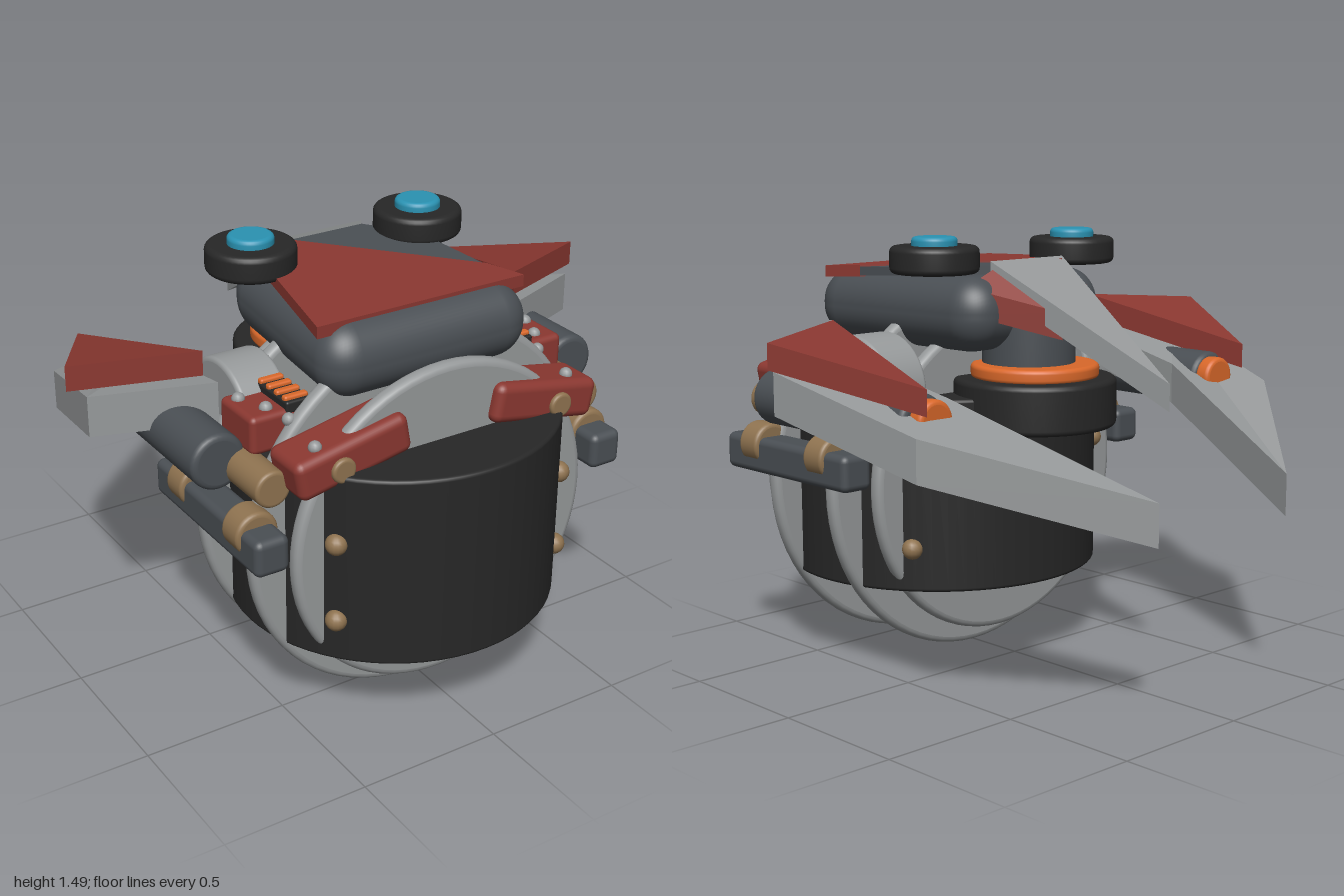
import * as THREE from 'three';
import { RoundedBoxGeometry } from 'three/addons/geometries/RoundedBoxGeometry.js';

const paint = (name, color) => Object.assign(new THREE.MeshStandardMaterial({ color }), { name });

// Flat slab: polygon of [x, y, z] corners dropped straight down by h
function slab(points, h) {
  let area = 0;
  points.forEach((a, i) => {
    const b = points[(i + 1) % points.length];
    area += a[0] * b[2] - b[0] * a[2];
  });
  const pts = area < 0 ? [...points].reverse() : points;
  const low = pts.map(([x, y, z]) => [x, y - h, z]);
  const out = [];
  const tri = (a, b, c) => out.push(...a, ...b, ...c);
  const flat = pts.map((p) => new THREE.Vector2(p[0], p[2]));
  for (const [i, j, k] of THREE.ShapeUtils.triangulateShape(flat.slice(), [])) {
    const a = flat[i], b = flat[j], c = flat[k];
    const up = (b.x - a.x) * (c.y - a.y) - (b.y - a.y) * (c.x - a.x) < 0;
    const [m, n] = up ? [j, k] : [k, j];
    tri(pts[i], pts[m], pts[n]);
    tri(low[i], low[n], low[m]);
  }
  pts.forEach((a, i) => {
    const j = (i + 1) % pts.length;
    tri(a, pts[j], low[j]);
    tri(a, low[j], low[i]);
  });
  const geo = new THREE.BufferGeometry();
  geo.setAttribute('position', new THREE.Float32BufferAttribute(out, 3));
  geo.computeVertexNormals();
  return geo;
}

// Upright solid disc with rounded rims, centred on its middle
function puck(r, h, bevel, seg = 48) {
  const pts = [new THREE.Vector2(0, -h / 2), new THREE.Vector2(r - bevel, -h / 2)];
  for (const side of [-1, 1]) {
    for (let i = 0; i <= 4; i++) {
      const a = (side < 0 ? -Math.PI / 2 : 0) + (i / 4) * (Math.PI / 2);
      pts.push(new THREE.Vector2(r - bevel + Math.cos(a) * bevel, side * (h / 2 - bevel) + Math.sin(a) * bevel));
    }
  }
  pts.push(new THREE.Vector2(0, h / 2));
  // doubled corners keep the flat caps crisp
  pts.splice(1, 0, new THREE.Vector2(r - bevel - 0.001, -h / 2));
  pts.splice(pts.length - 1, 0, new THREE.Vector2(r - bevel - 0.001, h / 2));
  return new THREE.LatheGeometry(pts, seg);
}
const alongZ = (geo) => geo.rotateX(Math.PI / 2);
const alongX = (geo) => geo.rotateZ(Math.PI / 2);
const box = (w, h, d, r) => new RoundedBoxGeometry(w, h, d, 3, r);

export function createModel() {
  const root = new THREE.Group();
  root.name = 'hoverDrone';
  const grey = paint('steel grey', 0x96999a);
  const red = paint('rust red', 0x8b3831);
  const dark = paint('slate', 0x4a4f54);
  const black = paint('rubber black', 0x272727);
  const brown = paint('bronze', 0x8f7350);
  const orange = paint('orange', 0xd9682a);
  const blue = paint('lens blue', 0x2a92b2);

  const add = (name, geo, mat, x = 0, y = 0, z = 0) => {
    const m = new THREE.Mesh(geo, mat);
    m.name = name;
    m.position.set(x, y, z);
    root.add(m);
    return m;
  };

  // Main drum and the four upright discs cutting through it
  add('drum', puck(0.556, 0.66, 0.012, 64), black, 0, 0.63, 0.385);
  for (const [z, r] of [[0.67, 0.56], [0.545, 0.645], [0.23, 0.645], [0.095, 0.56]]) {
    add('disc', alongZ(puck(r, 0.055, 0.022, 72)), grey, 0, 0.65, z);
  }

  // Rear turret with its glowing ring
  add('turret', puck(0.28, 0.17, 0.02), black, 0, 0.93, -0.1);
  add('turretRing', puck(0.22, 0.05, 0.015), orange, 0, 1.035, -0.1);
  add('neck', puck(0.16, 0.2, 0.02), dark, 0, 1.12, -0.07);

  // Rounded body, narrower at the back
  const body = new RoundedBoxGeometry(0.79, 0.255, 0.78, 6, 0.12);
  const p = body.attributes.position;
  for (let i = 0; i < p.count; i++) {
    p.setX(i, p.getX(i) * (0.9 + 0.26 * Math.min(p.getZ(i), 0.38)));
  }
  add('body', body, dark, 0, 1.237, 0.245);

  // Hood plates
  const onHood = (list, lift) => list.map(([x, z]) => [x, 1.372 + lift + (0.55 - z) * 0.05, z]);
  add('hood', slab(onHood([[-0.39, 0.55], [0.39, 0.55], [0.34, 0.42], [-0.15, -0.08], [-0.17, -0.06], [-0.3, 0.1]], 0), 0.04), red);
  add('hoodPanel', slab(onHood([[-0.15, -0.08], [0.34, 0.42], [0.3, 0.1], [0.17, -0.06]], -0.006), 0.03), dark);

  // Tail blade
  add('tailBlade', slab([[0.17, 1.41, -0.06], [0, 1.05, -0.71], [-0.17, 1.41, -0.06]], 0.09), grey);

  for (const s of [1, -1]) {
    const side = (list) => list.map(([x, y, z]) => [s * x, y, z]);

    // Hood flares beside the tail blade
    add('hoodFlare', slab(side([[0.15, 1.39, -0.07], [0.08, 1.25, -0.31], [0.28, 1.33, -0.06]]), 0.09), red);

    // Eyes
    add('eyeTyre', puck(0.15, 0.092, 0.02), black, s * 0.325, 1.419, 0.045);
    add('eyeLens', puck(0.077, 0.05, 0.015), blue, s * 0.325, 1.47, 0.045);

    // Swept wing and the fin above it
    add('wing', slab(side([[0.58, 1.125, 0.27], [0.95, 1.1, 0.1], [0.83, 0.945, -0.44],
      [0.31, 0.75, -0.945], [0.54, 1.015, -0.25]]), 0.14), grey);
    add('fin', slab(side([[0.75, 1.08, -0.4], [1, 1.2, 0.06], [0.61, 1.225, 0.23]]), 0.085), red);

    // Engine pod
    add('engine', alongZ(puck(0.095, 0.77, 0.02, 32)), dark, s * 0.685, 0.955, 0.075);
    add('engineCap', alongZ(puck(0.07, 0.06, 0.015, 32)), orange, s * 0.675, 0.965, -0.33);
    add('engineNozzle', alongZ(puck(0.062, 0.2, 0.012, 32)), brown, s * 0.6, 0.92, 0.54);

    // Lower arm with two bands
    add('lowerArm', box(0.12, 0.125, 0.66, 0.025), dark, s * 0.65, 0.738, 0.39);
    for (const z of [0.575, 0.215]) {
      add('armBand', alongZ(puck(0.075, 0.1, 0.015, 32)), brown, s * 0.65, 0.772, z);
    }

    // Front bracket, tilted down toward the outside
    const bracket = add('frontBracket', box(0.41, 0.135, 0.18, 0.03), red, s * 0.365, 1.0, 0.645);
    bracket.rotation.z = -s * 0.19;
    add('bracketStud', alongZ(puck(0.042, 0.03, 0.01, 24)), brown, s * 0.415, 0.98, 0.735);

    // Rear bracket, cooling slats and bolts
    add('rearBracket', box(0.2, 0.13, 0.2, 0.02), red, s * 0.5, 1.035, 0.41);
    add('slatBox', box(0.09, 0.04, 0.2, 0.008), black, s * 0.43, 1.105, 0.41);
    for (let i = 0; i < 4; i++) {
      add('slat', box(0.085, 0.025, 0.026, 0.008), orange, s * 0.43, 1.125, 0.34 + i * 0.048);
    }
    for (const [x, y, z] of [[0.48, 1.05, 0.68], [0.52, 1.1, 0.46], [0.56, 1.1, 0.36], [0.48, 1.08, 0.53]]) {
      add('bolt', new THREE.SphereGeometry(0.022, 12, 8), grey, s * x, y, z);
    }

    // Shoulder roller
    add('shoulder', alongX(puck(0.19, 0.17, 0.015, 40)), grey, s * 0.465, 0.98, 0.21);

    // Rivets on the drum
    for (const z of [0.73, 0.045]) {
      for (const y of [0.725, 0.45]) {
        add('rivet', new THREE.SphereGeometry(0.036, 16, 10), brown, s * 0.435, y, z);
      }
    }
  }
  return root;
}
